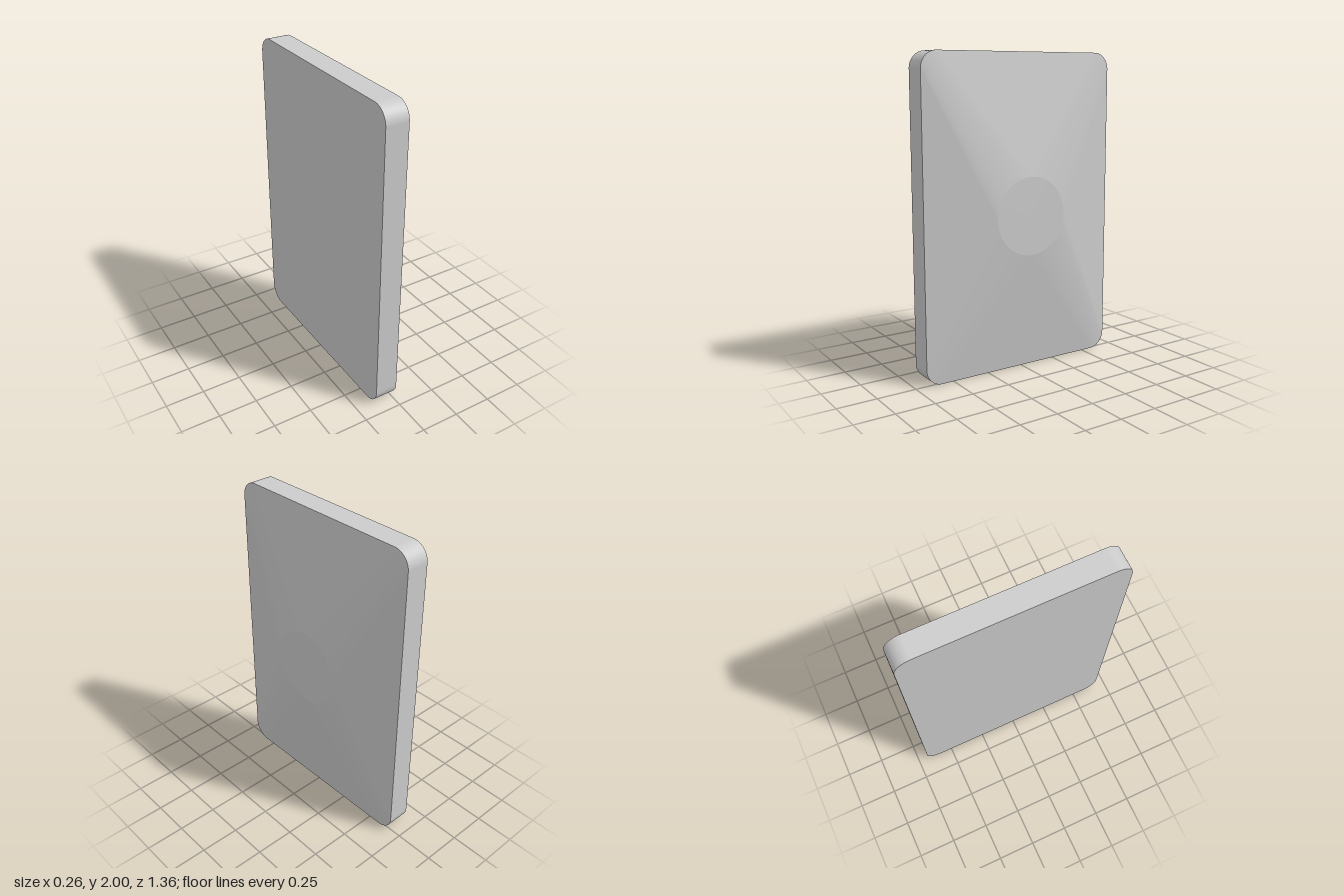
import * as THREE from 'three';

const CORNER_STEPS = 24;
const material = new THREE.MeshStandardMaterial({ color: 0xcccccc });

// Rounded rectangle in the yz plane; a circle when the radius equals both half sizes
function ring(x, halfY, halfZ, radius) {
  const points = [];
  const signs = [[1, 1], [-1, 1], [-1, -1], [1, -1]];
  signs.forEach(([sy, sz], k) => {
    for (let i = 0; i <= CORNER_STEPS; i++) {
      const t = (k + i / CORNER_STEPS) * Math.PI / 2;
      points.push([
        x,
        1 + sy * (halfY - radius) + radius * Math.cos(t),
        sz * (halfZ - radius) + radius * Math.sin(t),
      ]);
    }
  });
  return points;
}

// Joins two rings point by point with smooth normals
function loft(name, a, b) {
  const n = a.length;
  const index = [];
  for (let i = 0; i < n; i++) {
    const j = (i + 1) % n;
    index.push(i, j, n + j, i, n + j, n + i);
  }
  const geometry = new THREE.BufferGeometry();
  geometry.setAttribute('position', new THREE.Float32BufferAttribute([...a, ...b].flat(), 3));
  geometry.setIndex(index);
  geometry.computeVertexNormals();
  const mesh = new THREE.Mesh(geometry, material);
  mesh.name = name;
  return mesh;
}

export function createModel() {
  const group = new THREE.Group();
  group.name = 'domedPanel';

  const back = ring(-0.132, 1, 0.682, 0.105);
  const shoulder = ring(0.016, 1, 0.682, 0.105);
  const circle = ring(0.132, 0.245, 0.245, 0.245);

  group.add(
    loft('backFace', ring(-0.132, 0, 0, 0), back),
    loft('rim', back, shoulder),
    // Rounded rectangle blending into the raised circle
    loft('slopedFace', shoulder, circle),
    loft('centreDisc', circle, ring(0.132, 0, 0, 0)),
  );
  return group;
}
